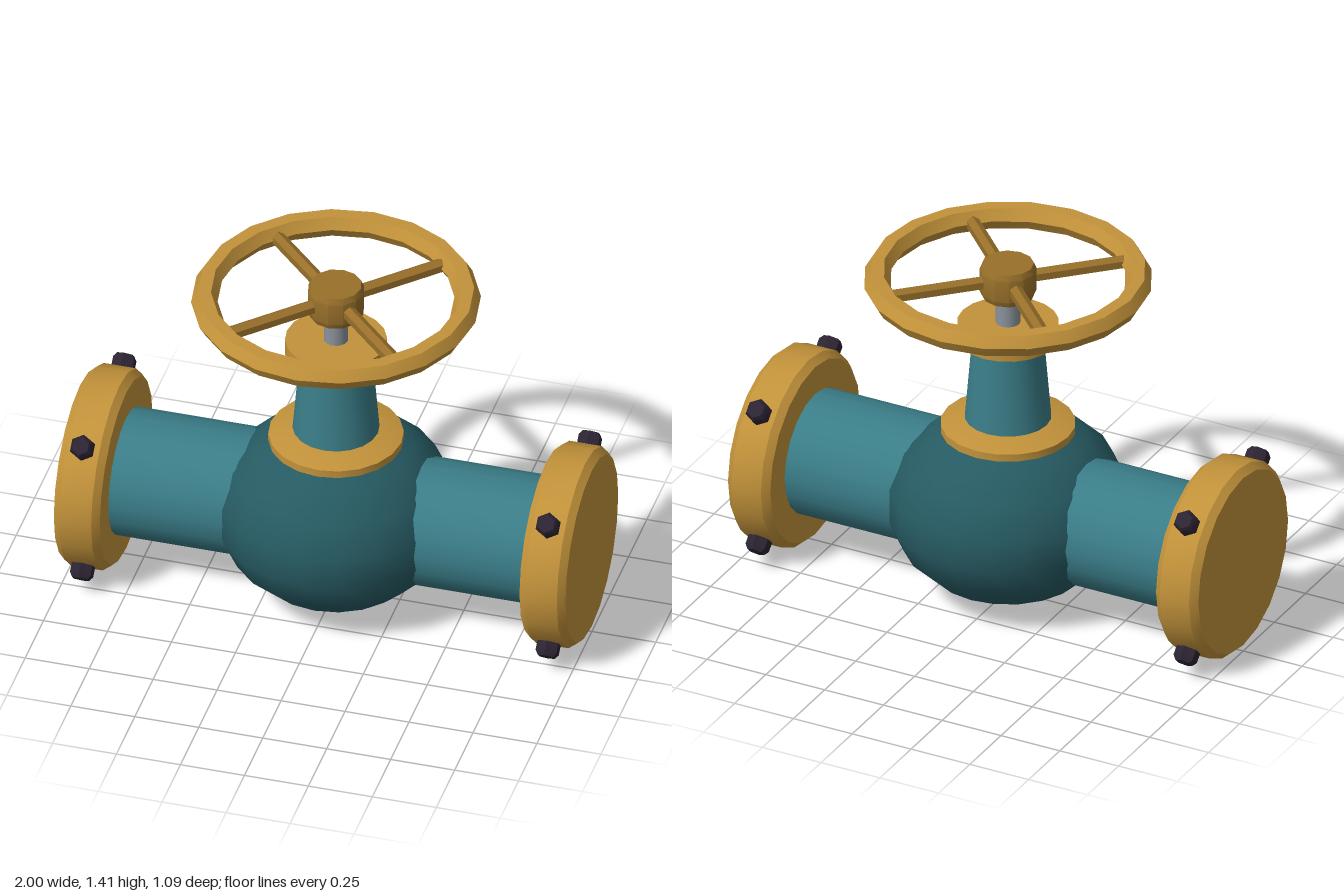
import * as THREE from 'three';
import { toCreasedNormals } from 'three/addons/utils/BufferGeometryUtils.js';

const mat = (name, color) => {
  const m = new THREE.MeshStandardMaterial({ color });
  m.name = name;
  return m;
};

export function createModel() {
  const brass = mat('brass', 0xc2923a);
  const darkBrass = mat('dark brass', 0x98702a);
  const teal = mat('teal', 0x3a7d88);
  const darkTeal = mat('dark teal', 0x265a62);
  const steel = mat('steel', 0x8a929c);
  const iron = mat('dark iron', 0x2c2432);

  const AXIS_Y = 0.39; // height of the pipe axis
  const WHEEL_Y = 1.345;
  const model = new THREE.Group();
  model.name = 'valve';

  const add = (name, geometry, material, parent = model) => {
    const mesh = new THREE.Mesh(geometry, material);
    mesh.name = name;
    parent.add(mesh);
    return mesh;
  };
  // Turned part from [radius, height] pairs listed bottom to top
  const turned = (points, sides = 20) => toCreasedNormals(
    new THREE.LatheGeometry(points.map(([r, y]) => new THREE.Vector2(r, y)), sides), 0.6);

  // Squashed ball body
  const body = add('body', new THREE.SphereGeometry(0.457, 20, 9), darkTeal);
  body.scale.y = 0.81;
  body.position.y = AXIS_Y;

  // Pipe running through the body
  const pipe = add('pipe', new THREE.CylinderGeometry(0.245, 0.245, 1.7, 20), teal);
  pipe.rotation.z = -Math.PI / 2;
  pipe.position.y = AXIS_Y;

  // End flanges, each with four radial bolts
  const flangeGeo = turned([[0, -0.09], [0.36, -0.09], [0.385, -0.063],
    [0.385, 0.063], [0.36, 0.09], [0, 0.09]]);
  const boltGeo = turned([[0, 0.34], [0.047, 0.34], [0.047, 0.418], [0.034, 0.435], [0, 0.435]], 6);
  for (const side of [1, -1]) {
    const end = new THREE.Group();
    end.name = side > 0 ? 'leftEnd' : 'rightEnd';
    end.position.set(side * 0.91, AXIS_Y, 0);
    model.add(end);
    add('flange', flangeGeo, brass, end).rotation.z = -side * Math.PI / 2;
    for (let i = 0; i < 4; i++) {
      add('bolt', boltGeo, iron, end).rotation.x = Math.PI / 4 + i * Math.PI / 2;
    }
  }

  // Bonnet: lower flange, tapered neck, top collar
  add('bonnetFlange', turned([[0, 0.7], [0.255, 0.7], [0.255, 0.73], [0.165, 0.757], [0, 0.757]]), brass);
  add('neck', turned([[0.165, 0.74], [0.135, 1.1]]), teal);
  add('collar', turned([[0, 1.08], [0.14, 1.08], [0.192, 1.095], [0.192, 1.162], [0, 1.162]]), brass);

  // Stem
  const stem = add('stem', new THREE.CylinderGeometry(0.047, 0.047, 0.2, 12), steel);
  stem.position.y = 1.22;

  // Handwheel: hexagonal rim, hub, four spokes
  const wheel = new THREE.Group();
  wheel.name = 'handwheel';
  wheel.position.y = WHEEL_Y;
  model.add(wheel);
  const rim = add('rim', toCreasedNormals(new THREE.TorusGeometry(0.495, 0.05, 6, 20), 0.6), brass, wheel);
  rim.rotation.x = Math.PI / 2;
  add('hub', turned([[0, -0.068], [0.098, -0.068], [0.108, -0.045],
    [0.108, 0.045], [0.098, 0.068], [0, 0.068]], 12), darkBrass, wheel);
  const spokeGeo = toCreasedNormals(new THREE.CylinderGeometry(0.028, 0.028, 0.4, 6), 0.6);
  spokeGeo.translate(0, 0.27, 0).rotateX(Math.PI / 2);
  for (let i = 0; i < 4; i++) {
    add('spoke', spokeGeo, darkBrass, wheel).rotation.y = Math.PI / 4 + i * Math.PI / 2;
  }

  return model;
}
